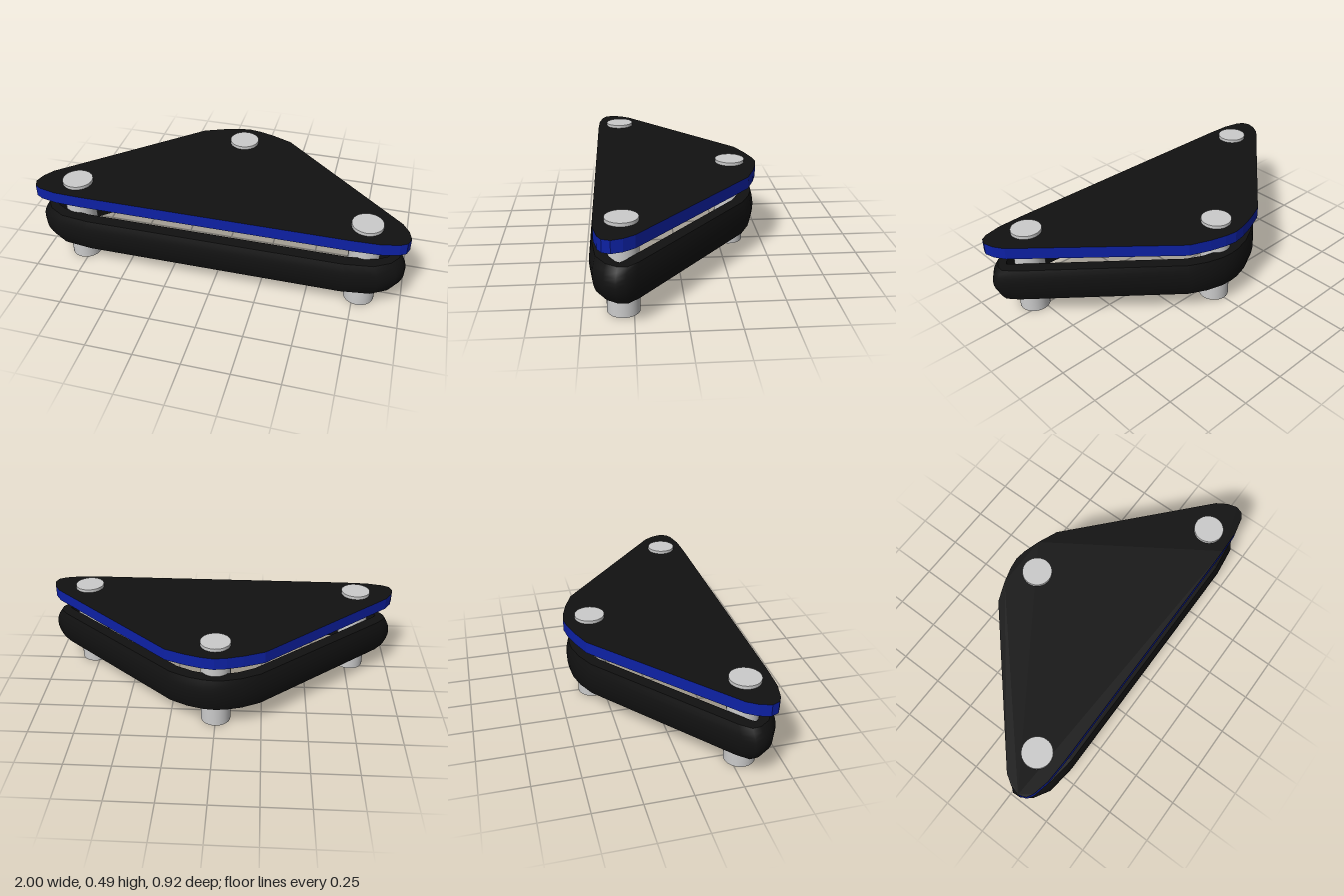
import * as THREE from 'three';
import { toCreasedNormals } from 'three/addons/utils/BufferGeometryUtils.js';

const metal = new THREE.MeshStandardMaterial({ color: 0xcccccc });
const black = new THREE.MeshStandardMaterial({ color: 0x111111 });
const blue = new THREE.MeshStandardMaterial({ color: 0x0d21a5 });

// Right half of an outline [x, z], front to back, mirrored into a closed loop
function mirrorLoop(half, apexZ) {
  const left = half.map(([x, z]) => [-x, z]).reverse();
  return [...half, [0, apexZ], ...left];
}

// Moves a closed outline inward by d, with mitred corners
function inset(loop, d) {
  const n = loop.length;
  const normal = (a, b) => new THREE.Vector2(a[1] - b[1], b[0] - a[0]).normalize();
  return loop.map((p, i) => {
    const n1 = normal(loop[(i + n - 1) % n], p);
    const n2 = normal(p, loop[(i + 1) % n]);
    const m = n1.clone().add(n2).normalize();
    const k = d / m.dot(n1);
    return [p[0] - m.x * k, p[1] - m.y * k];
  });
}

// Rounded triangular plate: black faces, blue rim
function makePlate() {
  const loop = mirrorLoop([
    [0.72, 0.435], [0.86, 0.43], [0.95, 0.41], [0.985, 0.39], [1, 0.35],
    [0.985, 0.295], [0.95, 0.24], [0.26, -0.375], [0.15, -0.42], [0.065, -0.445],
  ], -0.455);
  const shape = new THREE.Shape(loop.map(([x, z]) => new THREE.Vector2(x, -z)));
  const geo = new THREE.ExtrudeGeometry(shape, { depth: 0.065, bevelEnabled: false });
  geo.rotateX(-Math.PI / 2).translate(0, 0.405, 0);
  const plate = new THREE.Mesh(geo, [black, blue]);
  plate.name = 'topPlate';
  return plate;
}

// Thick belt around the posts with a bulging outer face
function makeBelt() {
  const outer = mirrorLoop([
    [0.71, 0.46], [0.87, 0.44], [0.955, 0.39], [0.993, 0.335], [0.997, 0.29],
    [0.95, 0.235], [0.25, -0.365], [0.15, -0.415], [0.06, -0.44],
  ], -0.445);
  const inner = inset(outer, 0.078);
  const y0 = 0.135, y1 = 0.32, steps = 8, rings = [];
  for (let j = 0; j <= steps; j++) {
    const t = j / steps;
    const s = 1 - 0.035 * (2 * t - 1) ** 2;
    rings.push(outer.map(([x, z]) => [x * s, y0 + (y1 - y0) * t, z * s]));
  }
  for (const y of [y1, y0]) rings.push(inner.map(([x, z]) => [x, y, z]));

  const n = outer.length, m = rings.length, index = [];
  for (let j = 0; j < m; j++) {
    for (let i = 0; i < n; i++) {
      const i2 = (i + 1) % n, j2 = (j + 1) % m;
      const a = j * n + i, b = j * n + i2, c = j2 * n + i2, d = j2 * n + i;
      index.push(a, b, c, a, c, d);
    }
  }
  const geo = new THREE.BufferGeometry();
  geo.setAttribute('position', new THREE.Float32BufferAttribute(rings.flat(2), 3));
  geo.setIndex(index);
  const belt = new THREE.Mesh(toCreasedNormals(geo, 0.9), black);
  belt.name = 'belt';
  return belt;
}

export function createModel() {
  const model = new THREE.Group();
  model.name = 'triangularStand';
  model.add(makePlate(), makeBelt());

  // Three posts passing through the plate
  const postGeo = new THREE.CylinderGeometry(0.081, 0.081, 0.488, 32);
  const posts = { leftPost: [0.78, 0.3], rightPost: [-0.78, 0.3], backPost: [0, -0.31] };
  for (const [name, [x, z]] of Object.entries(posts)) {
    const post = new THREE.Mesh(postGeo, metal);
    post.name = name;
    post.position.set(x, 0.244, z);
    model.add(post);
  }
  return model;
}
